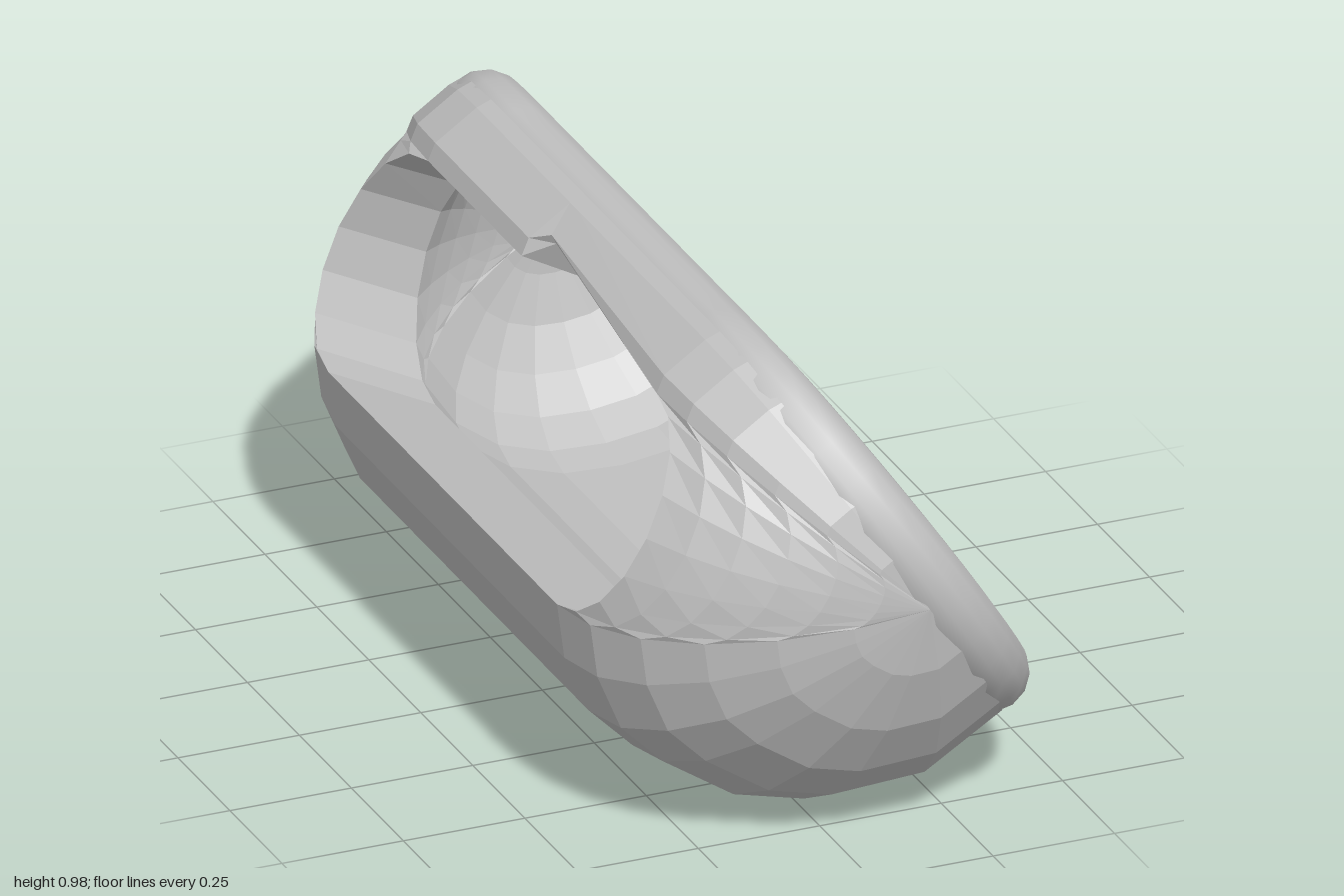
import * as THREE from 'three';

const grey = new THREE.MeshStandardMaterial({ color: 0xc0c0c0, side: THREE.DoubleSide });
grey.name = 'plain grey';

// centre of the tilted opening, and half the length of the straight middle
const CX = 0.15, CY = 0.555, HALF = 0.55;
const OUT = 0.44, INN = 0.29, HOLE = 0.19;

// faceted surface through rows of points
function skin(rows, closed) {
  const pos = [];
  const n = rows[0].length;
  for (let j = 0; j < rows.length - 1; j++) {
    for (let i = 0; i < (closed ? n : n - 1); i++) {
      const k = (i + 1) % n;
      const a = rows[j][i], b = rows[j][k], c = rows[j + 1][k], d = rows[j + 1][i];
      pos.push(...a, ...b, ...c, ...a, ...c, ...d);
    }
  }
  const g = new THREE.BufferGeometry();
  g.setAttribute('position', new THREE.Float32BufferAttribute(pos, 3));
  g.computeVertexNormals();
  return g;
}

// cross-section pieces of the thick shell, from the upper rim round the back
// to the lower rim, then back along the cavity
const barOuter = [[-0.12, 0.975], [-0.15, 0.963], [-0.235, 0.905], [-0.25, 0.87]];
const wallOuter = [[-0.455, 0.465], [-0.44, 0.35], [-0.39, 0.23], [-0.3, 0.14], [-0.15, 0.04],
  [0, 0.002], [0.22, 0.015], [0.405, 0.13]];
const wallInner = [[0.33, 0.2], [0.26, 0.17], [0.15, 0.155], [0.03, 0.16], [-0.08, 0.195],
  [-0.17, 0.26], [-0.235, 0.355]];
const barInner = [[-0.11, 0.805], [-0.05, 0.85]];

// points across the flat window band, with the window's roundness at each
const STEPS = 8;
function band(a, b) {
  const pts = [];
  for (let i = 0; i <= STEPS; i++) {
    const u = (1 - Math.cos(Math.PI * i / STEPS)) / 2;
    pts.push([a[0] + (b[0] - a[0]) * u, a[1] + (b[1] - a[1]) * u,
      Math.sqrt(Math.max(0, 1 - (2 * u - 1) ** 2))]);
  }
  return pts;
}

// point on a rounded end: f = 0 at its start, 1 at its tip just behind the rim
function endPoint([x, y, w = 0], len, f, side) {
  const start = Math.asin(HOLE * w / len);
  const phi = start + (Math.PI / 2 - start) * f;
  const c = Math.cos(phi) / Math.cos(start);
  const tx = CX - 0.025, ty = CY - 0.017;
  return [tx + (x - tx) * c, ty + (y - ty) * c, side * (HALF + len * Math.sin(phi))];
}

export function createModel() {
  const model = new THREE.Group();
  model.name = 'hollowShell';
  const add = (geometry, name) => {
    const mesh = new THREE.Mesh(geometry, grey);
    mesh.name = name;
    model.add(mesh);
  };

  // straight trough wall
  const wall = [...wallOuter, ...wallInner];
  add(skin([-HALF, HALF].map(z => wall.map(([x, y]) => [x, y, z])), true), 'troughWall');

  // upper bar, with a tapering notch along its free edge
  const bar = [...barOuter, ...barInner];
  const stations = [[-HALF, 0], [-0.1, 0], [-0.06, 1], [HALF, 0]];
  add(skin(stations.map(([z, k]) => bar.map(([x, y], i) => {
    const reach = { 2: 0.03, 3: 0.055 }[i] || 0;
    return [x + reach * k, y + reach * k * 0.6, z];
  })), true), 'upperBar');

  // rounded ends with the window tunnel cut into them
  const outerBand = band(barOuter.at(-1), wallOuter[0]);
  const innerBand = band(wallInner.at(-1), barInner[0]);
  const outer = [...barOuter.slice(0, -1), ...outerBand, ...wallOuter.slice(1)];
  const inner = [...wallInner.slice(0, -1), ...innerBand, ...barInner.slice(1)];
  const ROWS = 6;
  for (const side of [1, -1]) {
    const rows = [];
    for (let j = 0; j <= ROWS; j++) {
      rows.push([...outer.map(p => endPoint(p, OUT, j / ROWS, side)),
        ...inner.map(p => endPoint(p, INN, j / ROWS, side))]);
    }
    const edge = [[...innerBand].reverse().map(p => endPoint(p, INN, 0, side)),
      outerBand.map(p => endPoint(p, OUT, 0, side))];
    if (side < 0) { rows.reverse(); edge.reverse(); }
    const label = side > 0 ? 'front' : 'back';
    add(skin(rows, true), label + 'RoundedEnd');
    add(skin(edge, false), label + 'WindowEdge');
  }

  // rounded rim along a tilted oval with straight sides
  const path = [];
  for (const side of [1, -1]) {
    for (let i = 0; i <= 10; i++) {
      const a = Math.PI * i / 10;
      const t = -Math.cos(a) * side;
      path.push(new THREE.Vector3(CX + 0.235 * t, CY - 0.35 * t,
        side * (HALF + 0.37 * Math.sin(a))));
    }
    for (const z of [0.4, 0, -0.4]) {
      path.push(new THREE.Vector3(CX + 0.235 * side, CY - 0.35 * side, z * side));
    }
  }
  const curve = new THREE.CatmullRomCurve3(path, true);
  add(new THREE.TubeGeometry(curve, 64, 0.078, 14, true), 'rim');

  return model;
}
